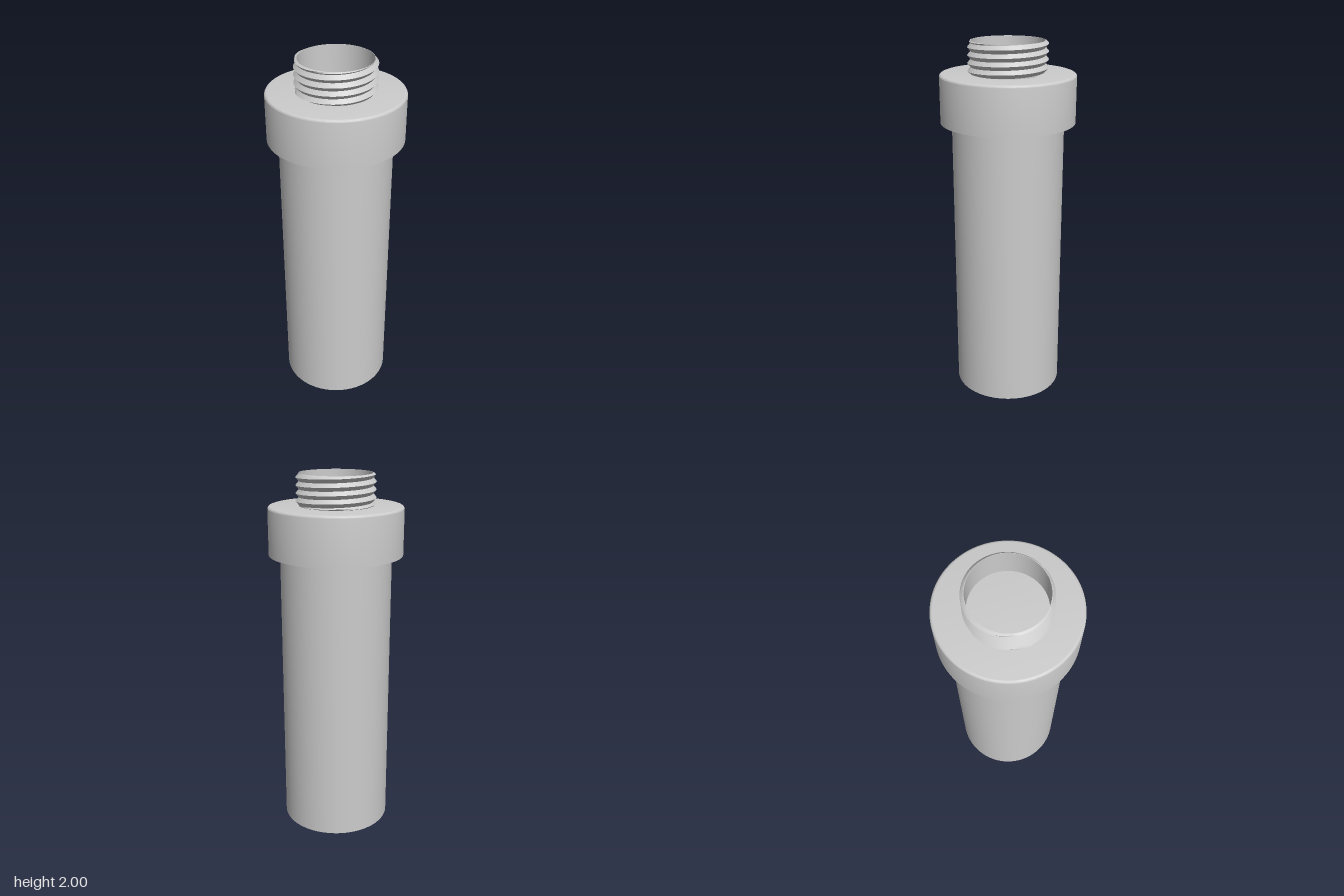
import * as THREE from 'three';
import { toCreasedNormals } from 'three/addons/utils/BufferGeometryUtils.js';

const SEGMENTS = 96;
const ROOT = 0.197;      // thread root radius
const THREAD = 0.017;    // thread height
const PITCH = 0.041;
const material = new THREE.MeshStandardMaterial({ color: 0xcccccc, side: THREE.DoubleSide });

function part(name, geometry) {
  const mesh = new THREE.Mesh(toCreasedNormals(geometry, 0.6), material);
  mesh.name = name;
  return mesh;
}

function lathe(name, points) {
  return part(name, new THREE.LatheGeometry(points.map(([r, y]) => new THREE.Vector2(r, y)), SEGMENTS));
}

// Helical V-thread between two heights; rows follow the helix and fade into the ends
function thread(name, y0, y1) {
  const steps = 6;
  const rows = Math.ceil((y1 - y0) / PITCH + 1) * steps;
  const positions = [], index = [];
  for (let k = 0; k <= rows; k++) {
    for (let i = 0; i <= SEGMENTS; i++) {
      const turn = i / SEGMENTS;
      const y = THREE.MathUtils.clamp(y0 + (k / steps - 1 + turn) * PITCH, y0, y1);
      const phase = (((y - y0) / PITCH - turn) % 1 + 1) % 1;
      const ridge = 1 - Math.abs(2 * phase - 1);
      const fade = Math.min((y1 - y) / 0.006, (y - y0) / 0.006);
      const r = ROOT + THREAD * Math.min(ridge, fade);
      const a = turn * Math.PI * 2;
      positions.push(r * Math.cos(a), y, -r * Math.sin(a));
      if (k < rows && i < SEGMENTS) {
        const p = k * (SEGMENTS + 1) + i, q = p + SEGMENTS + 1;
        index.push(p, p + 1, q + 1, p, q + 1, q);
      }
    }
  }
  const geometry = new THREE.BufferGeometry();
  geometry.setAttribute('position', new THREE.Float32BufferAttribute(positions, 3));
  geometry.setIndex(index);
  return part(name, geometry);
}

export function createModel() {
  const group = new THREE.Group();
  group.name = 'threadedAdapter';

  // Long barrel with an opening in its base
  group.add(lathe('barrel', [[ROOT, 0], [0.303, 0], [0.303, 1.57]]));

  // Wider collar with a rounded top edge
  const collar = [[0.303, 1.57], [0.364, 1.57]];
  for (let i = 0; i <= 5; i++) {
    const a = (i / 5) * Math.PI / 2;
    collar.push([0.35 + 0.014 * Math.cos(a), 1.816 + 0.014 * Math.sin(a)]);
  }
  collar.push([0, 1.83]);
  group.add(lathe('collar', collar));

  // Hollow threaded neck
  group.add(thread('neckThread', 1.83, 2));
  group.add(lathe('neckBore', [[ROOT, 2], [ROOT - 0.002, 2], [ROOT - 0.002, 1.83]]));

  // Threaded socket in the base
  group.add(thread('socketThread', 0, 0.18));
  group.add(lathe('socketCeiling', [[0, 0.18], [ROOT, 0.18]]));

  return group;
}
